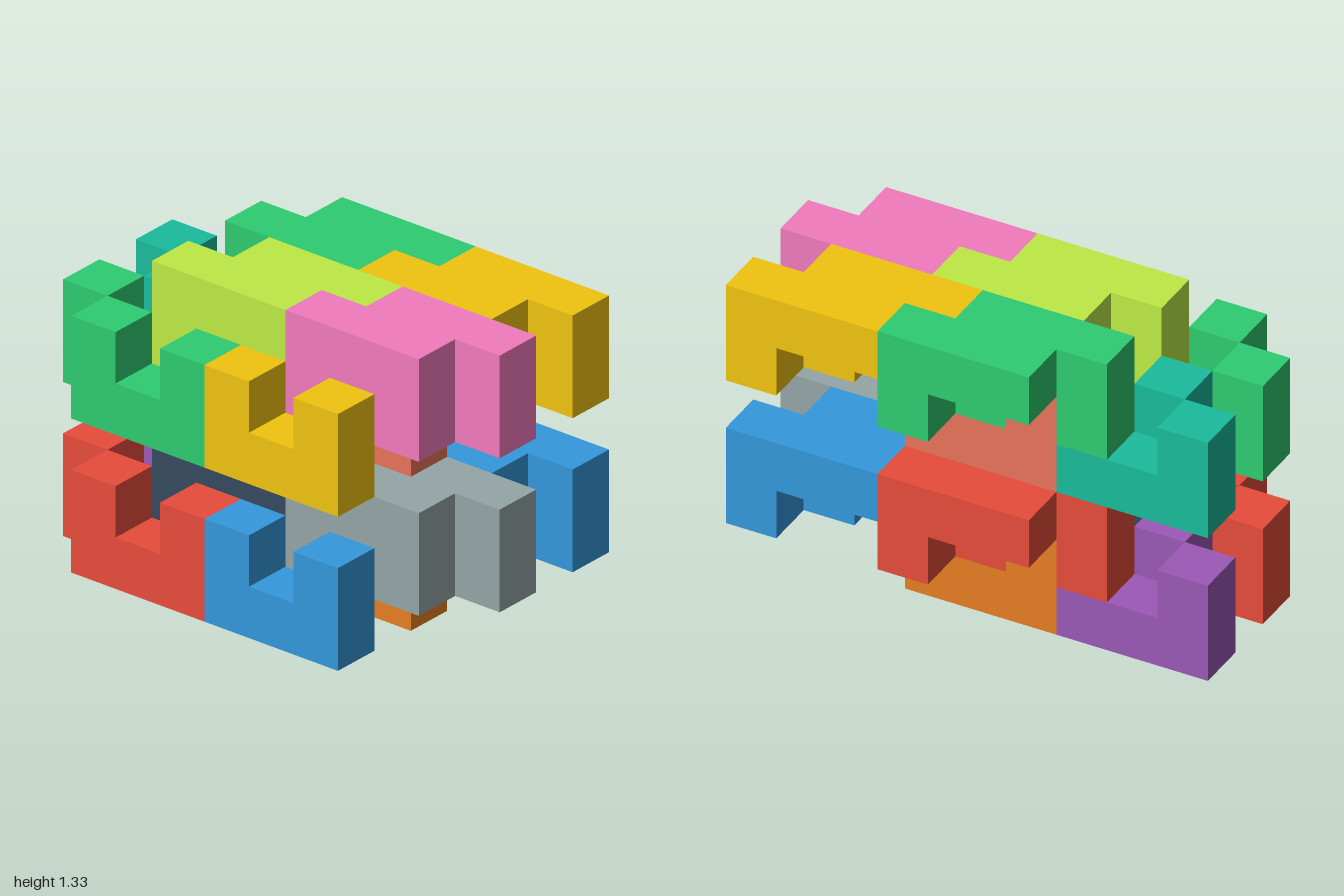
import * as THREE from 'three';
import { mergeGeometries } from 'three/addons/utils/BufferGeometryUtils.js';

const UNIT = 2 / 9; // edge of one cube cell

// Extrudes a (z, y) outline one cell wide, starting at the given x
function column(outline, x) {
  const shape = new THREE.Shape(outline.map(([z, y]) => new THREE.Vector2(z, y)));
  const geometry = new THREE.ExtrudeGeometry(shape, { depth: 1, bevelEnabled: false });
  return geometry.rotateY(-Math.PI / 2).translate(x + 1, 0, 0);
}

// One interlocking block: a two-pronged column beside a shifted one-pronged column
function blockGeometry() {
  const twoProngs = [[-2, -1], [-1, -1], [-1, 0], [0, 0], [0, -1], [1, -1], [1, 1], [-2, 1]];
  const oneProng = [[-1, 0], [1, 0], [1, -1], [2, -1], [2, 1], [-1, 1]];
  return mergeGeometries([column(twoProngs, -1), column(oneProng, 0)]).scale(UNIT, UNIT, UNIT);
}

export function createModel() {
  const model = new THREE.Group();
  model.name = 'interlockingBlocks';
  const geometry = blockGeometry();

  // Colours per layer: prongs-up blocks below, prongs-down blocks above,
  // each ordered right back, right front, left back, left front
  const layers = [
    { name: 'lowerLayer', up: [0xe74c3c, 0x3498db, 0x9b59b6, 0xe67e22], down: [0x34495e, 0x95a5a6, 0xe74c3c, 0x3498db] },
    { name: 'upperLayer', up: [0x2ecc71, 0xf1c40f, 0x1abc9c, 0xe8735a], down: [0xbeeb45, 0xf27bbd, 0x2ecc71, 0xf1c40f] },
  ];

  layers.forEach(({ name, up, down }, level) => {
    const layer = new THREE.Group();
    layer.name = name;
    layer.position.y = level * 3 * UNIT;

    const addBlocks = (colors, label, x0, y, z0, flip) => {
      colors.forEach((color, i) => {
        const block = new THREE.Mesh(geometry, new THREE.MeshStandardMaterial({ color }));
        block.name = `${label}${i + 1}`;
        block.position.set(x0 + 2 * Math.floor(i / 2), y, z0 + 3 * (i % 2)).multiplyScalar(UNIT);
        block.rotation.x = flip;
        layer.add(block);
      });
    };
    addBlocks(up, 'prongsUpBlock', -1.5, 1, -2.5, Math.PI);
    addBlocks(down, 'prongsDownBlock', -0.5, 2, -0.5, 0);
    model.add(layer);
  });

  return model;
}
